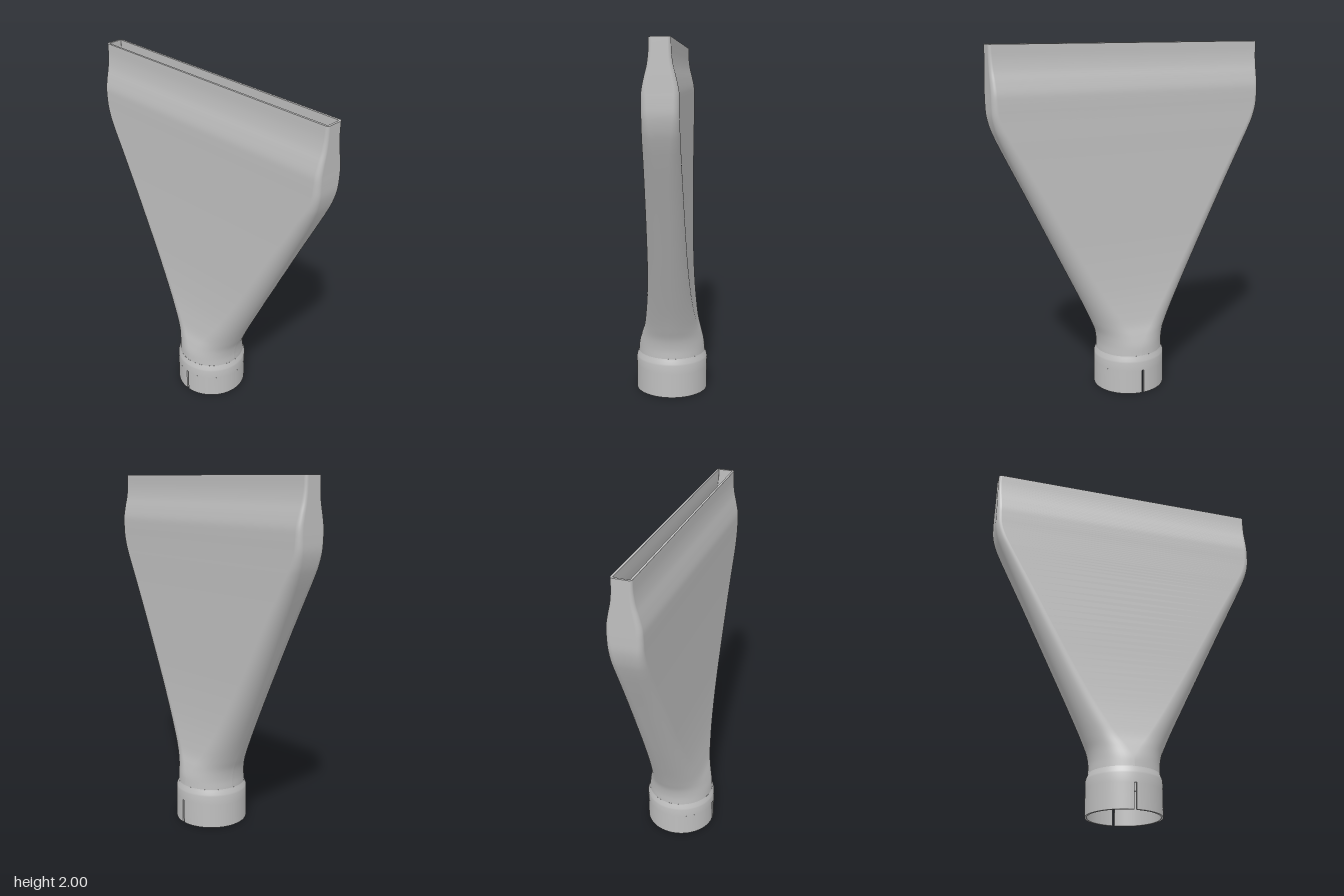
import * as THREE from 'three';
import { toCreasedNormals } from 'three/addons/utils/BufferGeometryUtils.js';

const WALL = 0.012;

// Body sections: height, half width x, half width z, corner radius
const SECTIONS = [
  [0.225, 0.196, 0.196, 0.196],
  [0.28, 0.19, 0.196, 0.19],
  [0.34, 0.173, 0.207, 0.173],
  [0.4, 0.154, 0.231, 0.152],
  [0.48, 0.14, 0.266, 0.134],
  [0.6, 0.125, 0.323, 0.116],
  [0.8, 0.111, 0.42, 0.099],
  [1.0, 0.104, 0.516, 0.086],
  [1.2, 0.099, 0.612, 0.074],
  [1.4, 0.095, 0.709, 0.06],
  [1.5, 0.094, 0.755, 0.05],
  [1.56, 0.093, 0.778, 0.042],
  [1.63, 0.092, 0.794, 0.034],
  [1.7, 0.092, 0.797, 0.03],
  [1.75, 0.09, 0.797, 0.028],
  [1.81, 0.078, 0.797, 0.025],
  [1.87, 0.063, 0.797, 0.021],
  [1.93, 0.055, 0.797, 0.018],
  [2.0, 0.053, 0.797, 0.016],
];

// Rounded rectangle ring, shrunk inward by inset
function ring(y, hx, hz, r, inset) {
  const pts = [];
  const n = 14;
  const rr = Math.max(r - inset, 0.003);
  for (let k = 0; k < 4; k++) {
    const sx = k === 0 || k === 3 ? 1 : -1;
    const sz = k < 2 ? 1 : -1;
    for (let i = 0; i <= n; i++) {
      const a = (k + i / n) * Math.PI / 2;
      pts.push([
        sx * (hx - inset - rr) + rr * Math.cos(a),
        y,
        sz * (hz - inset - rr) + rr * Math.sin(a),
      ]);
    }
  }
  return pts;
}

// Skin a list of rings
function skin(rings, inward = false) {
  const n = rings[0].length;
  const index = [];
  for (let j = 0; j < rings.length - 1; j++) {
    for (let i = 0; i < n; i++) {
      const a = j * n + i, b = j * n + (i + 1) % n;
      const c = a + n, d = b + n;
      if (inward) index.push(a, b, c, b, d, c);
      else index.push(a, c, b, b, c, d);
    }
  }
  const geo = new THREE.BufferGeometry();
  geo.setAttribute('position', new THREE.Float32BufferAttribute(rings.flat(2), 3));
  geo.setIndex(index);
  geo.computeVertexNormals();
  return geo;
}

export function createModel() {
  const model = new THREE.Group();
  model.name = 'flatNozzle';
  const metal = new THREE.MeshStandardMaterial({ color: 0xbfbfbf });
  metal.name = 'grey metal';
  const add = (name, geo) => {
    const mesh = new THREE.Mesh(geo, metal);
    mesh.name = name;
    model.add(mesh);
  };

  // Smoothly interpolated sections
  const size = new THREE.CatmullRomCurve3(SECTIONS.map(([y, hx, hz]) => new THREE.Vector3(hx, y, hz)));
  const corner = new THREE.CatmullRomCurve3(SECTIONS.map(([y, , , r]) => new THREE.Vector3(r, y, 0)));
  const outer = [], inner = [];
  const steps = (SECTIONS.length - 1) * 5;
  for (let i = 0; i <= steps; i++) {
    const p = size.getPoint(i / steps);
    const r = Math.min(corner.getPoint(i / steps).x, p.x, p.z);
    outer.push(ring(p.y, p.x, p.z, r, 0));
    inner.push(ring(p.y, p.x, p.z, r, WALL));
  }
  add('bodyOuterWall', skin(outer));
  add('bodyInnerWall', skin(inner, true));
  add('outletRim', skin([outer[steps], inner[steps]]));

  // Collar above the slots, with an inner stop ledge
  const profile = [
    [0.208, 0.14], [0.208, 0.19], [0.206, 0.2], [0.199, 0.218], [0.196, 0.228],
    [0.184, 0.228], [0.184, 0.19], [0.196, 0.19], [0.196, 0.14], [0.208, 0.14],
  ].map(([x, y]) => new THREE.Vector2(x, y));
  add('collarUpper', toCreasedNormals(new THREE.LatheGeometry(profile, 96), 0.6));

  // Collar halves separated by two narrow slots
  const gap = 0.03;
  for (const side of [0, 1]) {
    const a0 = side * Math.PI + gap, a1 = (side + 1) * Math.PI - gap;
    const shape = new THREE.Shape();
    shape.absarc(0, 0, 0.208, a0, a1, false);
    shape.absarc(0, 0, 0.196, a1, a0, true);
    const geo = new THREE.ExtrudeGeometry(shape, { depth: 0.14, bevelEnabled: false, curveSegments: 48 });
    geo.rotateX(-Math.PI / 2);
    add(side ? 'collarFrontHalf' : 'collarBackHalf', toCreasedNormals(geo, 0.6));
  }
  return model;
}
